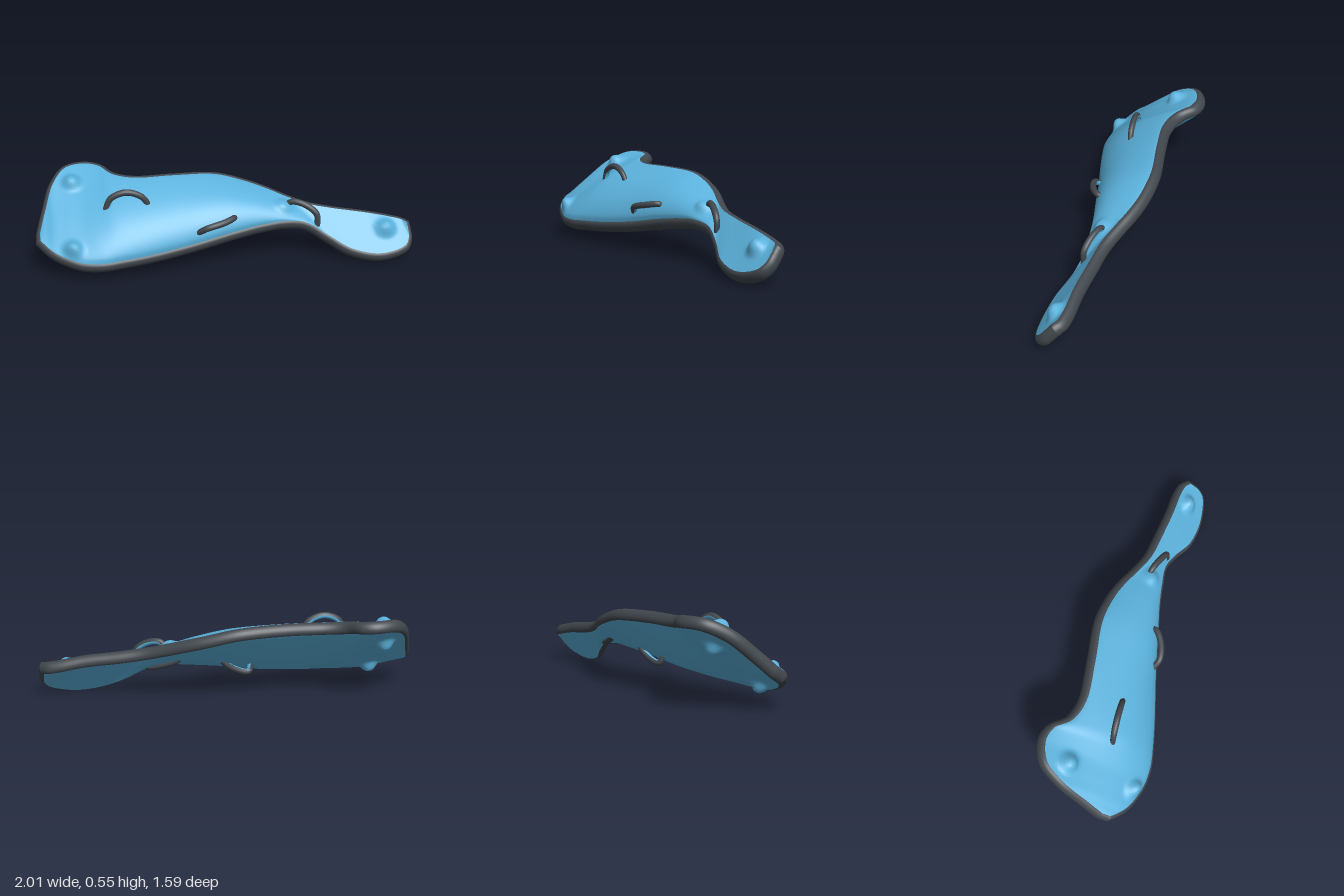
import * as THREE from 'three';

const V = p => new THREE.Vector3(...p);
const smooth = THREE.MathUtils.smoothstep;
const NORMAL = V([-0.315, 0.791, 0.524]).normalize();
const HALF = 0.04;   // half the rim thickness
const INSET = 0.028; // how far the rim bulges beyond the faces
const STEPS = 126;
const ACROSS = 48;

// Smooth surface from a grid of points; the front is on the (i x j) side
function gridGeometry(rows) {
  const w = rows[0].length, pos = [], idx = [];
  rows.forEach(r => r.forEach(p => pos.push(p.x, p.y, p.z)));
  for (let i = 0; i < rows.length - 1; i++) {
    for (let j = 0; j < w - 1; j++) {
      const a = i * w + j, b = a + w;
      idx.push(a, b, a + 1, b, b + 1, a + 1);
    }
  }
  const g = new THREE.BufferGeometry();
  g.setAttribute('position', new THREE.Float32BufferAttribute(pos, 3));
  g.setIndex(idx);
  g.computeVertexNormals();
  return g;
}

// Part of a round bar along an arch; angle 0 points away from the board
function barGeometry(points, side, from, to) {
  const path = new THREE.CatmullRomCurve3(points.map(V));
  const across = path.getPoint(1).sub(path.getPoint(0)).cross(NORMAL).multiplyScalar(side).normalize();
  const rows = [];
  for (let i = 0; i <= 32; i++) {
    const p = path.getPoint(i / 32), row = [];
    const out = across.clone().cross(path.getTangent(i / 32)).normalize();
    for (let j = 0; j <= 10; j++) {
      const a = THREE.MathUtils.degToRad(to + (from - to) * j / 10);
      row.push(p.clone().addScaledVector(out, 0.02 * Math.cos(a)).addScaledVector(across, 0.02 * Math.sin(a)));
    }
    rows.push(row);
  }
  return gridGeometry(rows);
}

export function createModel() {
  const group = new THREE.Group();
  const blue = new THREE.MeshStandardMaterial({ color: 0x5cb3de });
  blue.name = 'sky blue';
  const dark = new THREE.MeshStandardMaterial({ color: 0x41474d });
  dark.name = 'charcoal';
  const add = (name, geometry, material) => {
    const m = new THREE.Mesh(geometry, material);
    m.name = name;
    group.add(m);
  };

  // Outline as matching edges running from the tail to the head
  const backEdge = [
    [1, 0.208, 0.7], [0.985, 0.222, 0.65], [0.93, 0.238, 0.59], [0.8, 0.27, 0.49], [0.65, 0.295, 0.36],
    [0.53, 0.322, 0.25], [0.45, 0.357, 0.14], [0.38, 0.395, 0.03], [0.3, 0.43, -0.07], [0.15, 0.477, -0.2],
    [-0.1, 0.492, -0.33], [-0.31, 0.492, -0.45], [-0.39, 0.503, -0.55], [-0.41, 0.525, -0.67],
    [-0.48, 0.537, -0.75], [-0.62, 0.528, -0.785], [-0.76, 0.46, -0.73], [-0.88, 0.34, -0.635],
    [-0.97, 0.24, -0.56]];
  const frontEdge = [
    [0.992, 0.175, 0.725], [0.967, 0.12, 0.765], [0.91, 0.07, 0.785], [0.75, 0.028, 0.715],
    [0.6, 0.06, 0.585], [0.51, 0.135, 0.44], [0.43, 0.202, 0.35], [0.32, 0.222, 0.29], [0.2, 0.213, 0.23],
    [0.03, 0.188, 0.16], [-0.22, 0.14, 0.06], [-0.48, 0.108, -0.035], [-0.63, 0.098, -0.095],
    [-0.75, 0.09, -0.15], [-0.85, 0.095, -0.225], [-0.92, 0.12, -0.305], [-0.97, 0.152, -0.385],
    [-0.99, 0.18, -0.45], [-1, 0.205, -0.51]];
  const sample = pts => {
    const curve = new THREE.CatmullRomCurve3(pts.map(V));
    return Array.from({ length: STEPS + 1 }, (_, i) => curve.getPoint(i / STEPS));
  };
  const loop = [...sample(backEdge), ...sample(frontEdge).reverse()];
  const count = loop.length;
  const outward = loop.map((p, i) => loop[(i + 1) % count].clone()
    .sub(loop[(i + count - 1) % count]).cross(NORMAL).normalize());
  const inner = loop.map((p, i) => p.clone().addScaledVector(outward[i], -INSET));

  // Rounded rim around the whole outline
  const rim = [];
  for (let i = 0; i <= count; i++) {
    const k = i % count, row = [];
    for (let j = 0; j <= 10; j++) {
      const a = -Math.PI / 2 + Math.PI * j / 10;
      row.push(inner[k].clone().addScaledVector(outward[k], INSET * Math.cos(a))
        .addScaledVector(NORMAL, HALF * Math.sin(a)));
    }
    rim.push(row);
  }
  add('rim', gridGeometry(rim), dark);

  // Domed faces, fuller toward the front edge, with soft rounded knobs [x, y, z, height]
  const face = (side, dome, knobs) => {
    const rows = [];
    for (let i = 0; i <= STEPS; i++) {
      const u = i / STEPS, row = [];
      const rise = dome * smooth(u, 0.29, 0.53) * (1 - smooth(u, 0.68, 0.95));
      for (let j = 0; j <= ACROSS; j++) {
        const v = side > 0 ? j / ACROSS : 1 - j / ACROSS;
        const p = inner[i].clone().lerp(inner[count - 1 - i], v);
        let h = HALF + rise * Math.pow(Math.max(0, Math.sin(Math.PI * Math.pow(v, 1.4))), 0.58);
        for (const [x, y, z, height] of knobs) {
          const away = p.clone().sub(V([x, y, z])).projectOnPlane(NORMAL).length();
          h += height * Math.exp(-Math.pow(away / 0.05, 3)) * smooth(Math.min(v, 1 - v), 0, 0.08);
        }
        row.push(p.addScaledVector(NORMAL, side * h));
      }
      rows.push(row);
    }
    return gridGeometry(rows);
  };
  add('upperFace', face(1, 0.08, [[-0.645, 0.46, -0.645, 0.05], [-0.855, 0.17, -0.32, 0.05],
    [0.85, 0.165, 0.63, 0.05], [0.38, 0.3, 0.2, 0.03]]), blue);
  add('lowerFace', face(-1, 0.025, [[-0.65, 0.41, -0.64, 0.05], [-0.82, 0.13, -0.35, 0.05]]), blue);

  // Curved handles, dark outside and blue on the side facing the board
  const upper = {
    upperHeadHandle: [[-0.6, 0.38, -0.34], [-0.57, 0.46, -0.32], [-0.49, 0.495, -0.27], [-0.41, 0.46, -0.22], [-0.37, 0.39, -0.2]],
    upperMiddleHandle: [[-0.19, 0.25, 0.05], [-0.16, 0.293, 0.11], [-0.06, 0.317, 0.15], [0.02, 0.325, 0.145], [0.04, 0.3, 0.1]],
    upperNeckHandle: [[0.37, 0.31, 0.21], [0.4, 0.365, 0.25], [0.45, 0.355, 0.32], [0.495, 0.3, 0.38], [0.5, 0.22, 0.385]],
  };
  const lower = {
    lowerMiddleHandle: [[0.1, 0.28, 0.045], [0.085, 0.235, 0.03], [0.02, 0.178, 0], [-0.07, 0.152, -0.04], [-0.09, 0.21, -0.035]],
    lowerNeckHandle: [[0.315, 0.31, 0.14], [0.335, 0.265, 0.15], [0.405, 0.22, 0.23], [0.46, 0.205, 0.31], [0.47, 0.25, 0.33]],
  };
  [[1, upper], [-1, lower]].forEach(([side, set]) => {
    for (const [name, pts] of Object.entries(set)) {
      add(name, barGeometry(pts, side, -115, 115), dark);
      add(name + 'Inside', barGeometry(pts, side, 115, 245), blue);
    }
  });

  // Stand on the ground
  group.position.y = -new THREE.Box3().setFromObject(group, true).min.y;
  return group;
}
